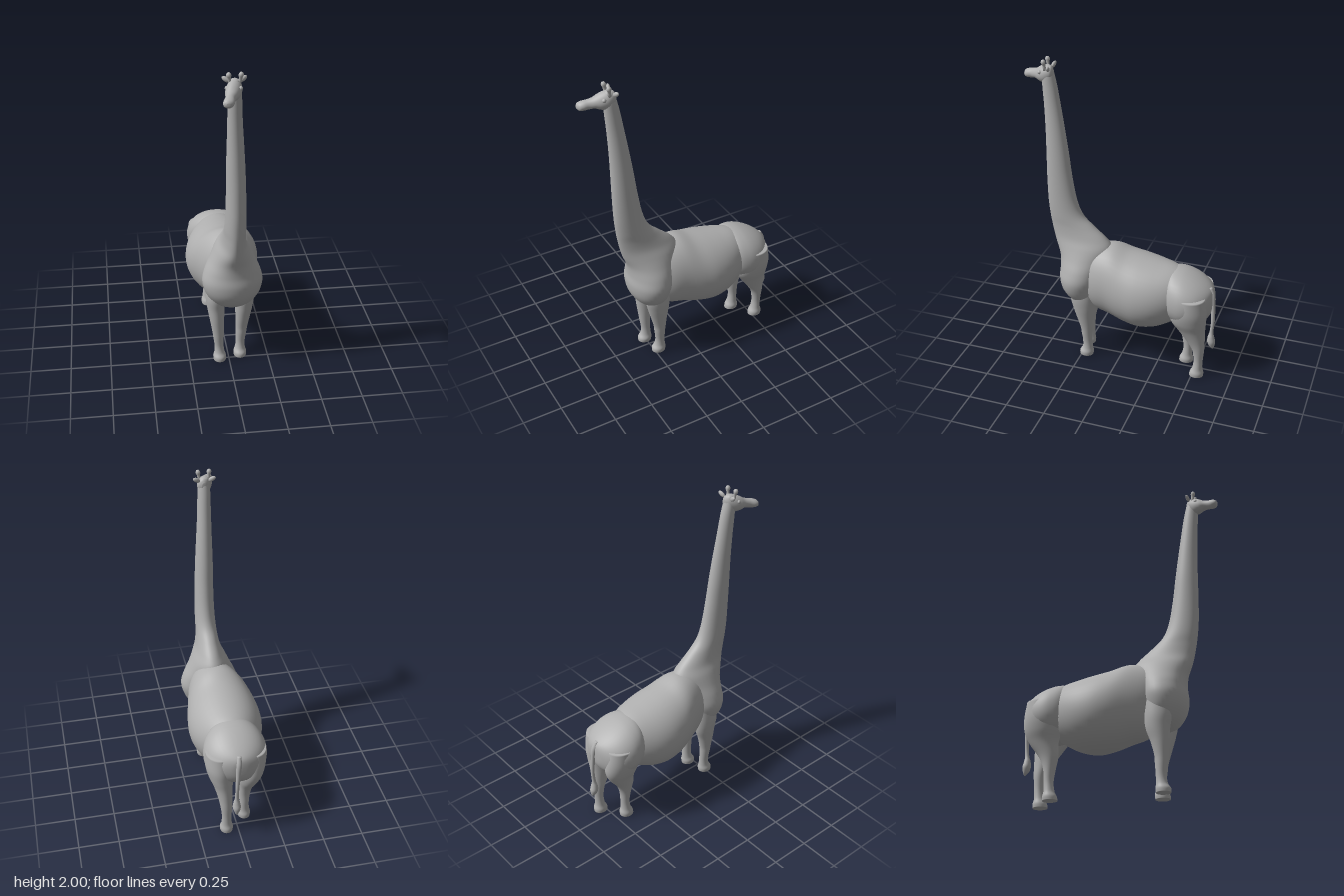
import * as THREE from 'three';

const SEG = 40;

// Catmull-Rom blend of two neighbouring rows
function blend(rows, t) {
  const n = rows.length - 1;
  const i = Math.min(Math.floor(t * n), n - 1);
  const f = t * n - i;
  const at = (k) => rows[Math.max(0, Math.min(n, k))];
  const [a, b, c, d] = [at(i - 1), at(i), at(i + 1), at(i + 2)];
  return b.map((q, k) => q + 0.5 * f * (c[k] - a[k]
    + f * (2 * a[k] - 5 * q + 4 * c[k] - d[k] + f * (3 * (q - c[k]) + d[k] - a[k]))));
}

// Smooth closed loft. Rows: [position on axis, x centre, half width, low, high];
// low and high are z limits for axis 'y' and y limits for axis 'z'.
function loft(axis, rows, power = 2) {
  const steps = (rows.length - 1) * 6;
  const pos = [], idx = [];
  const put = (p, x, o) => (axis === 'y' ? pos.push(x, p, o) : pos.push(x, o, p));
  const round = (c) => Math.sign(c) * Math.abs(c) ** (2 / power);
  for (let s = 0; s <= steps; s++) {
    const [p, xc, hw, lo, hi] = blend(rows, s / steps);
    for (let j = 0; j < SEG; j++) {
      const a = (j / SEG) * Math.PI * 2;
      put(p, xc + hw * round(Math.cos(a)), (lo + hi) / 2 + ((hi - lo) / 2) * round(Math.sin(a)));
    }
  }
  const up = rows[rows.length - 1][0] > rows[0][0];
  const flip = (axis === 'y') === up;
  const tri = (a, b, c) => (flip ? idx.push(a, c, b) : idx.push(a, b, c));
  for (let s = 0; s < steps; s++) {
    for (let j = 0; j < SEG; j++) {
      const k = (j + 1) % SEG, a = s * SEG, b = a + SEG;
      tri(a + j, a + k, b + k);
      tri(a + j, b + k, b + j);
    }
  }
  // end caps
  for (const [row, base, last] of [[rows[0], 0, false], [rows[rows.length - 1], steps * SEG, true]]) {
    const c = pos.length / 3;
    put(row[0], row[1], (row[3] + row[4]) / 2);
    for (let j = 0; j < SEG; j++) {
      const k = (j + 1) % SEG;
      if (last) tri(c, base + j, base + k);
      else tri(c, base + k, base + j);
    }
  }
  const g = new THREE.BufferGeometry();
  g.setAttribute('position', new THREE.Float32BufferAttribute(pos, 3));
  g.setIndex(idx);
  g.computeVertexNormals();
  return g;
}

export function createModel() {
  const model = new THREE.Group();
  model.name = 'giraffe';
  const hide = new THREE.MeshStandardMaterial({ color: 0xb0b0b0 });
  hide.name = 'grey hide';
  const add = (name, geometry) => {
    const m = new THREE.Mesh(geometry, hide);
    m.name = name;
    model.add(m);
    return m;
  };

  // barrel of the body
  add('belly', loft('z', [
    [0.25, 0.02, 0.1, 0.45, 0.78], [0.15, 0.015, 0.16, 0.365, 0.815], [0.05, 0.005, 0.195, 0.332, 0.825],
    [-0.05, 0, 0.222, 0.302, 0.793], [-0.15, 0, 0.232, 0.287, 0.772], [-0.25, 0, 0.215, 0.305, 0.752],
    [-0.35, 0, 0.17, 0.355, 0.73], [-0.45, 0, 0.1, 0.43, 0.69],
  ]));

  // rump
  add('rump', loft('z', [
    [-0.29, 0, 0.1, 0.45, 0.7], [-0.34, 0, 0.165, 0.4, 0.725], [-0.4, 0, 0.192, 0.37, 0.722],
    [-0.46, 0, 0.194, 0.37, 0.703], [-0.52, 0, 0.172, 0.39, 0.673], [-0.57, 0, 0.125, 0.42, 0.638],
    [-0.598, 0, 0.06, 0.47, 0.605], [-0.605, 0, 0.01, 0.53, 0.56],
  ], 2.15));

  // chest and shoulders running up into the neck
  add('chestAndNeck', loft('y', [
    [0.395, 0.02, 0.03, 0.22, 0.28], [0.42, 0.02, 0.1, 0.17, 0.32], [0.46, 0.02, 0.14, 0.14, 0.36],
    [0.52, 0.02, 0.172, 0.125, 0.39], [0.59, 0.02, 0.186, 0.11, 0.4], [0.66, 0.02, 0.17, 0.1, 0.394],
    [0.73, 0.02, 0.138, 0.08, 0.4], [0.8, 0.02, 0.107, 0.06, 0.425], [0.86, 0.022, 0.08, 0.1, 0.442],
    [0.93, 0.022, 0.067, 0.18, 0.456], [1.0, 0.022, 0.064, 0.25, 0.466], [1.1, 0.022, 0.061, 0.29, 0.475],
    [1.25, 0.02, 0.058, 0.318, 0.479], [1.4, 0.016, 0.055, 0.338, 0.48], [1.55, 0.012, 0.049, 0.36, 0.482],
    [1.7, 0.007, 0.043, 0.384, 0.488], [1.82, 0.004, 0.04, 0.404, 0.496], [1.9, 0.002, 0.037, 0.422, 0.5],
    [1.945, 0, 0.028, 0.435, 0.49], [1.957, 0, 0.008, 0.45, 0.475],
  ]));

  // head, turned a little towards its right
  add('head', loft('z', [
    [0.425, 0.006, 0.012, 1.89, 1.93], [0.44, 0.004, 0.032, 1.865, 1.953], [0.475, -0.004, 0.045, 1.845, 1.955],
    [0.51, -0.014, 0.044, 1.845, 1.942], [0.545, -0.026, 0.034, 1.856, 1.92], [0.575, -0.038, 0.029, 1.852, 1.91],
    [0.605, -0.048, 0.032, 1.848, 1.903], [0.625, -0.053, 0.027, 1.85, 1.894], [0.635, -0.055, 0.01, 1.862, 1.882],
  ]));

  // legs: the feet are staggered, so the lower part of each may be shifted
  const leg = (name, side, rows, slide, slant) => add(name, loft('y', rows.map(([y, x, hw, lo, hi]) => {
    const s = slide * THREE.MathUtils.smoothstep(0.42 - y, 0, 0.22);
    return [y, side * x + slant, hw, lo + s, hi + s];
  })));
  const front = [
    [0.56, 0.09, 0.06, 0.15, 0.31], [0.46, 0.09, 0.062, 0.15, 0.315], [0.38, 0.088, 0.055, 0.157, 0.3],
    [0.3, 0.083, 0.046, 0.168, 0.278], [0.22, 0.077, 0.038, 0.174, 0.256], [0.17, 0.074, 0.034, 0.178, 0.25],
    [0.1, 0.07, 0.029, 0.18, 0.242], [0.055, 0.068, 0.032, 0.178, 0.248], [0.025, 0.067, 0.041, 0.174, 0.265],
    [0, 0.067, 0.039, 0.177, 0.266],
  ];
  const hind = [
    [0.6, 0.1, 0.085, -0.57, -0.38], [0.5, 0.1, 0.087, -0.585, -0.352], [0.42, 0.093, 0.078, -0.582, -0.356],
    [0.35, 0.083, 0.06, -0.577, -0.4], [0.27, 0.075, 0.045, -0.576, -0.455], [0.2, 0.07, 0.037, -0.574, -0.495],
    [0.12, 0.068, 0.03, -0.567, -0.508], [0.06, 0.068, 0.033, -0.566, -0.502], [0.025, 0.068, 0.041, -0.574, -0.486],
    [0, 0.068, 0.039, -0.573, -0.482],
  ];
  leg('leftFrontLeg', 1, front, 0, 0.008);
  leg('rightFrontLeg', -1, front, 0.033, 0.008);
  leg('leftHindLeg', 1, hind, 0, 0.005);
  leg('rightHindLeg', -1, hind, 0.105, 0.005);

  // tail with a tuft
  add('tail', loft('y', [
    [0.63, 0.008, 0.012, -0.592, -0.568], [0.58, 0.012, 0.018, -0.615, -0.58], [0.5, 0.018, 0.014, -0.62, -0.592],
    [0.4, 0.024, 0.012, -0.622, -0.598], [0.32, 0.025, 0.012, -0.617, -0.592], [0.28, 0.025, 0.021, -0.623, -0.582],
    [0.245, 0.025, 0.025, -0.631, -0.58], [0.215, 0.026, 0.016, -0.627, -0.592], [0.195, 0.028, 0.003, -0.62, -0.614],
  ]));

  // horns, ears and eyes
  for (const [side, label] of [[1, 'left'], [-1, 'right']]) {
    const horn = [[0, 0.015], [0.011, 0.015], [0.009, 0.035], [0.01, 0.05], [0.014, 0.06],
      [0.014, 0.07], [0.009, 0.079], [0, 0.082]];
    const h = add(label + 'Horn', new THREE.LatheGeometry(horn.map((p) => new THREE.Vector2(...p)), 20));
    h.position.set(side * 0.024, 1.917, 0.468);
    h.rotation.set(0.12, 0, side * -0.15);

    const ear = add(label + 'Ear', new THREE.SphereGeometry(1, 20, 12));
    ear.scale.set(0.026, 0.014, 0.011);
    ear.position.set(side * 0.047 + 0.002, 1.947, 0.442);
    ear.rotation.set(0, side * 0.25, side * 0.55);

    const eye = add(label + 'Eye', new THREE.SphereGeometry(0.012, 16, 12));
    eye.position.set(side * 0.037 - 0.009, 1.915, 0.498 + side * 0.006);
  }
  return model;
}
